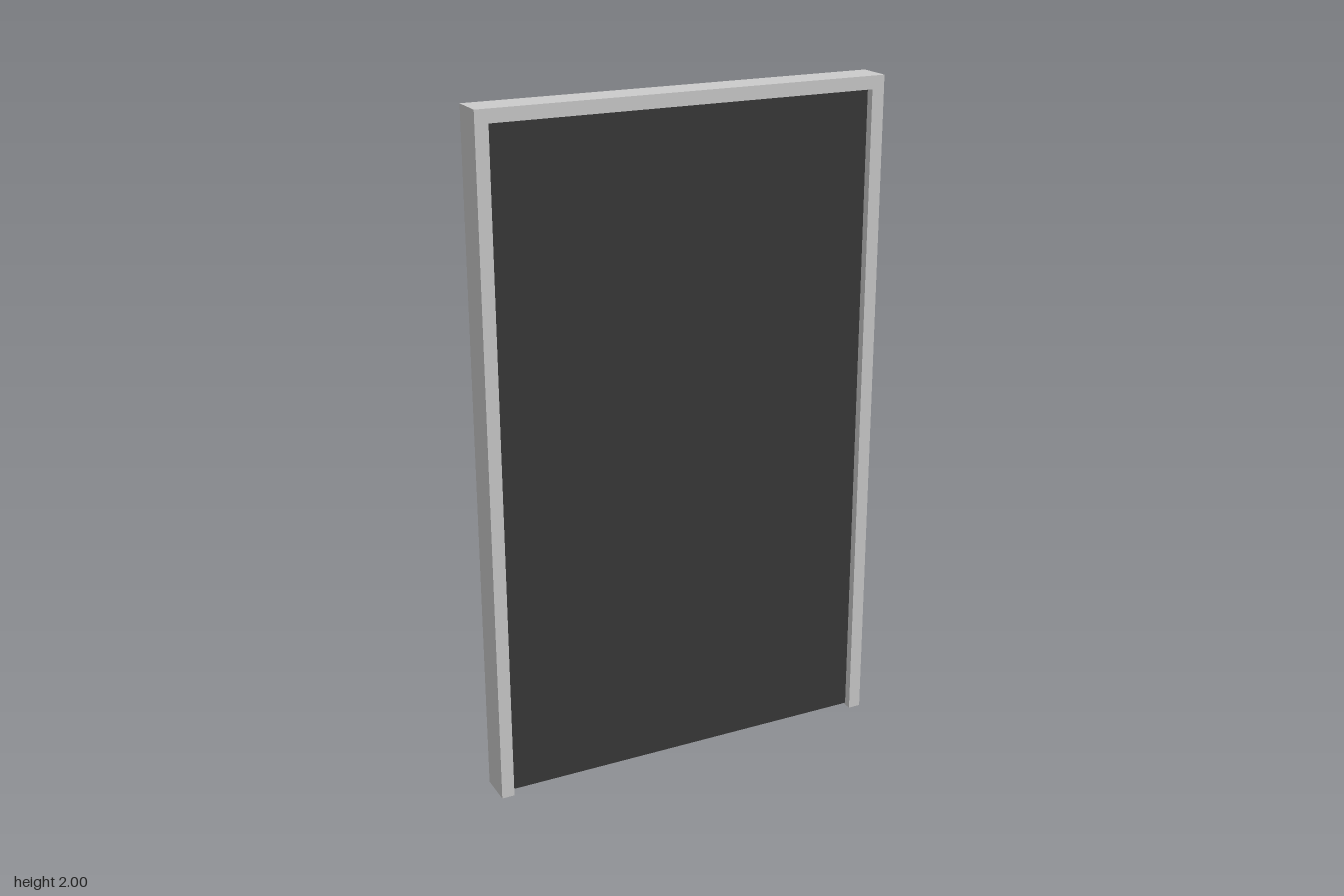
import * as THREE from 'three';

const HALF_W = 0.61, HEIGHT = 2, DEPTH = 0.103; // outer frame
const RAIL = 0.038;                             // visible frame width
const LEAF_DEPTH = 0.055, FLOOR_GAP = 0.006;    // recessed leaf

export function createModel() {
  const group = new THREE.Group();
  group.name = 'door';
  const frameMat = new THREE.MeshStandardMaterial({ color: 0xcccccc });
  const leafMat = new THREE.MeshStandardMaterial({ color: 0x383838 });

  // One-piece frame: two jambs joined by a lintel, open at the floor
  const inner = HALF_W - RAIL;
  const outline = new THREE.Shape([
    [-HALF_W, 0], [-inner, 0], [-inner, HEIGHT - RAIL], [inner, HEIGHT - RAIL],
    [inner, 0], [HALF_W, 0], [HALF_W, HEIGHT], [-HALF_W, HEIGHT],
  ].map(([x, y]) => new THREE.Vector2(x, y)));
  const frameGeo = new THREE.ExtrudeGeometry(outline, { depth: DEPTH, bevelEnabled: false });
  frameGeo.translate(0, 0, -DEPTH / 2);
  const frame = new THREE.Mesh(frameGeo, frameMat);
  frame.name = 'doorFrame';
  group.add(frame);

  // Dark leaf set back equally from both faces, just clear of the floor
  const leafH = HEIGHT - RAIL - FLOOR_GAP;
  const leaf = new THREE.Mesh(new THREE.BoxGeometry(inner * 2, leafH, LEAF_DEPTH), leafMat);
  leaf.position.y = FLOOR_GAP + leafH / 2;
  leaf.name = 'doorLeaf';
  group.add(leaf);

  return group;
}
